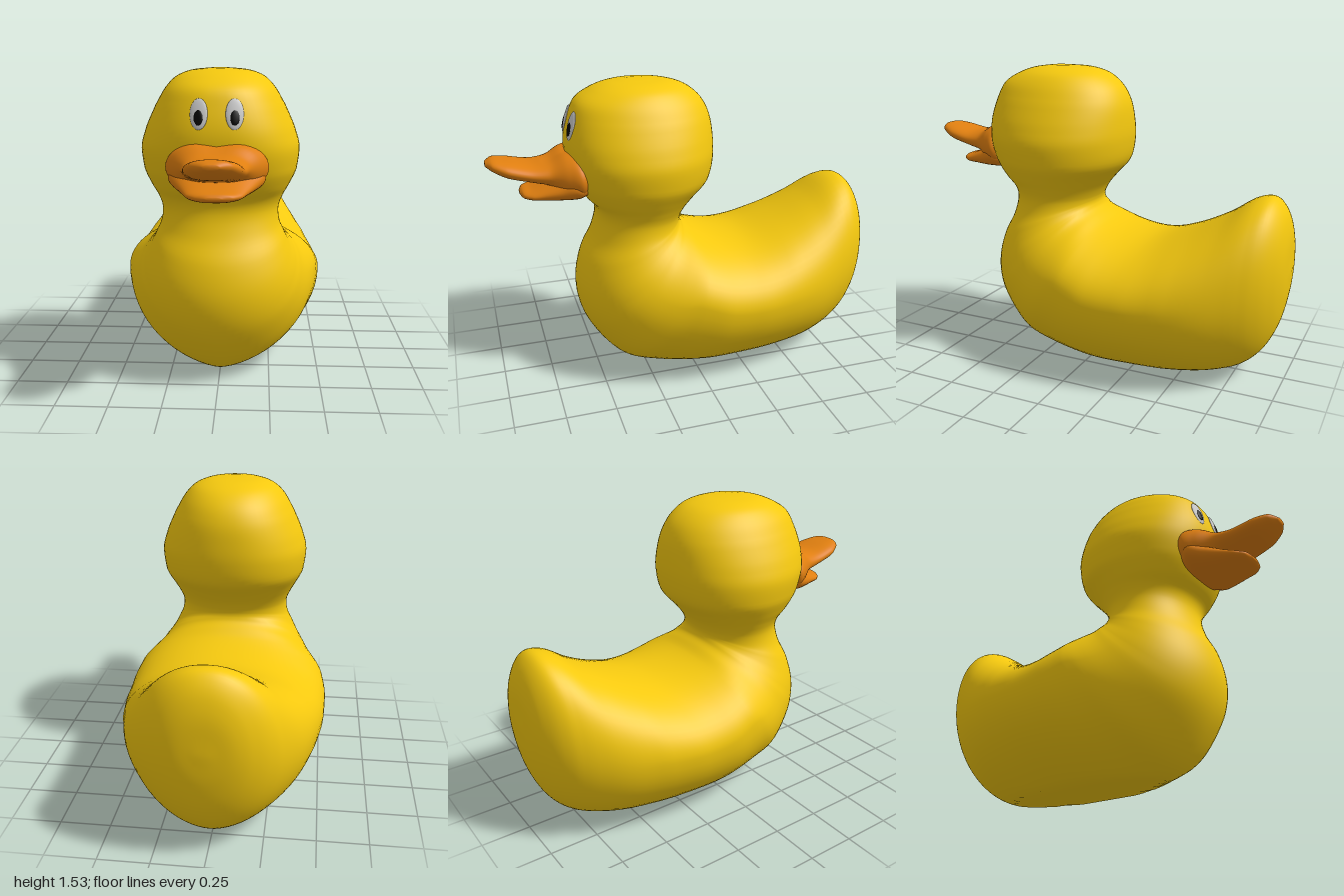
import * as THREE from 'three';

const material = (color) => new THREE.MeshStandardMaterial({ color, roughness: 0.6 });

// Smooth skin over oval sections. Each row is [backZ, backY, frontZ, frontY, halfWidth, widest, frontPower]:
// a section spans the line back -> front and is widest at that fraction from the front end.
// Powers below 1 make that half of the oval fuller, above 1 leaner.
function loft(rows, steps, sides, backPower) {
  const curve = (f) => new THREE.CatmullRomCurve3(rows.map(f));
  const back = curve((r) => new THREE.Vector3(0, r[1], r[0]));
  const front = curve((r) => new THREE.Vector3(0, r[3], r[2]));
  const shape = curve((r) => new THREE.Vector3(r[4], r[5], r[6]));
  const positions = [], index = [];
  for (let j = -1; j <= steps + 1; j++) {
    const cap = j < 0 || j > steps;
    const t = THREE.MathUtils.clamp(j / steps, 0, 1);
    const a = back.getPoint(t), b = front.getPoint(t), s = shape.getPoint(t);
    for (let i = 0; i < sides; i++) {
      const angle = (i / sides) * Math.PI * 2;
      const c = Math.cos(angle), h = Math.sin(angle);
      const x = cap ? 0 : s.x * Math.sign(c) * Math.abs(c) ** (h > 0 ? backPower : s.z);
      const along = cap ? s.y : s.y + h * (h > 0 ? 1 - s.y : s.y);
      const p = b.clone().lerp(a, along);
      positions.push(x, Math.max(0, p.y), p.z); // flat underside
    }
  }
  for (let j = 0; j < steps + 2; j++) {
    for (let i = 0; i < sides; i++) {
      const k = (i + 1) % sides, p = j * sides, q = p + sides;
      index.push(p + i, p + k, q + k, p + i, q + k, q + i);
    }
  }
  const geometry = new THREE.BufferGeometry();
  geometry.setAttribute('position', new THREE.Float32BufferAttribute(positions, 3));
  geometry.setIndex(index);
  geometry.computeVertexNormals();
  return geometry;
}

function addMesh(parent, name, geometry, mat) {
  const mesh = new THREE.Mesh(geometry, mat);
  mesh.name = name;
  parent.add(mesh);
  return mesh;
}

// Bill sections stand upright: [z, top, bottom, halfWidth]
const billRows = (rows) => rows.map(([z, top, bottom, w]) => [z, top, z, bottom, w, 0.5, 0.75]);

export function createModel() {
  const model = new THREE.Group();
  model.name = 'duck';
  const yellow = material(0xf5c90f);
  const orange = material(0xe07f10);
  const grey = material(0xcccccc);
  const black = material(0x050505);

  // Tail, body, neck
  const trunk = [
    [-1.0, 0.61, -1.0, 0.56, 0.03, 0.5, 1],
    [-0.991, 0.77, -0.987, 0.42, 0.14, 0.5, 1],
    [-0.955, 0.88, -0.95, 0.27, 0.225, 0.5, 1],
    [-0.9, 0.935, -0.88, 0.14, 0.3, 0.5, 1.05],
    [-0.82, 0.925, -0.78, 0.05, 0.36, 0.5, 1.15],
    [-0.68, 0.835, -0.62, -0.01, 0.43, 0.53, 1.25],
    [-0.5, 0.745, -0.42, -0.05, 0.485, 0.6, 1.4],
    [-0.32, 0.69, -0.22, -0.06, 0.514, 0.64, 1.45],
    [-0.17, 0.695, 0.0, -0.06, 0.52, 0.65, 1.45],
    [-0.05, 0.73, 0.24, -0.015, 0.5, 0.67, 1.35],
    [0.0, 0.765, 0.38, 0.05, 0.47, 0.61, 1.2],
    [0.03, 0.79, 0.5, 0.19, 0.425, 0.55, 1.1],
    [0.04, 0.81, 0.57, 0.33, 0.385, 0.52, 1],
    [0.042, 0.82, 0.59, 0.47, 0.35, 0.5, 1],
    [0.042, 0.83, 0.56, 0.62, 0.317, 0.5, 1],
    [0.04, 0.84, 0.5, 0.74, 0.293, 0.5, 0.95],
    [0.035, 0.855, 0.47, 0.85, 0.288, 0.5, 0.9],
  ];
  // Head, with a broad flat face
  const head = [
    [0.01, 0.9, 0.48, 0.91, 0.305, 0.5, 0.85],
    [-0.04, 0.96, 0.53, 0.97, 0.337, 0.5, 0.82],
    [-0.11, 1.04, 0.575, 1.05, 0.375, 0.5, 0.8],
    [-0.135, 1.15, 0.605, 1.15, 0.387, 0.5, 0.8],
    [-0.135, 1.25, 0.61, 1.25, 0.362, 0.5, 0.8],
    [-0.12, 1.35, 0.585, 1.36, 0.315, 0.5, 0.8],
    [-0.08, 1.43, 0.55, 1.44, 0.268, 0.5, 0.85],
    [-0.01, 1.49, 0.475, 1.49, 0.215, 0.5, 0.9],
    [0.08, 1.52, 0.4, 1.517, 0.145, 0.5, 0.95],
    [0.19, 1.53, 0.31, 1.53, 0.05, 0.5, 1],
  ];
  addMesh(model, 'bodyAndHead', loft([...trunk, ...head], 130, 64, 0.93), yellow);

  // Upper bill, with a dip in the middle of its root
  const upper = loft(billRows([
    [0.515, 1.18, 1.02, 0.19],
    [0.565, 1.215, 0.98, 0.235],
    [0.625, 1.212, 0.99, 0.205],
    [0.7, 1.172, 1.045, 0.155],
    [0.78, 1.16, 1.068, 0.138],
    [0.9, 1.182, 1.1, 0.122],
    [0.965, 1.19, 1.133, 0.085],
    [0.997, 1.175, 1.155, 0.03],
  ]), 48, 40, 0.75);
  const p = upper.attributes.position;
  for (let i = 0; i < p.count; i++) {
    const root = THREE.MathUtils.clamp((0.74 - p.getZ(i)) / 0.12, 0, 1);
    if (p.getY(i) > 1.1) p.setY(i, p.getY(i) - 0.02 * root * Math.exp(-((p.getX(i) / 0.07) ** 2)));
  }
  upper.computeVertexNormals();
  addMesh(model, 'upperBill', upper, orange);

  // Lower bill, its root filling the corners of the mouth
  addMesh(model, 'lowerBill', loft(billRows([
    [0.52, 1.11, 0.985, 0.17],
    [0.58, 1.13, 0.977, 0.222],
    [0.66, 1.09, 0.975, 0.185],
    [0.73, 1.058, 0.978, 0.15],
    [0.79, 1.034, 0.981, 0.122],
    [0.83, 1.025, 0.988, 0.082],
    [0.845, 1.012, 1.0, 0.03],
  ]), 36, 40, 0.75), orange);

  // Eyes, turned to lie on the face
  const ball = new THREE.SphereGeometry(1, 32, 20);
  for (const side of [-1, 1]) {
    const eye = new THREE.Group();
    eye.name = side > 0 ? 'leftEye' : 'rightEye';
    eye.position.set(side * 0.08, 1.337, 0.584);
    eye.rotation.set(-0.26, side * 0.18, 0);
    addMesh(eye, 'eyeWhite', ball, grey).scale.set(0.041, 0.071, 0.011);
    const pupil = addMesh(eye, 'pupil', ball, black);
    pupil.scale.set(0.021, 0.036, 0.006);
    pupil.position.set(0, -0.016, 0.008);
    model.add(eye);
  }
  return model;
}
